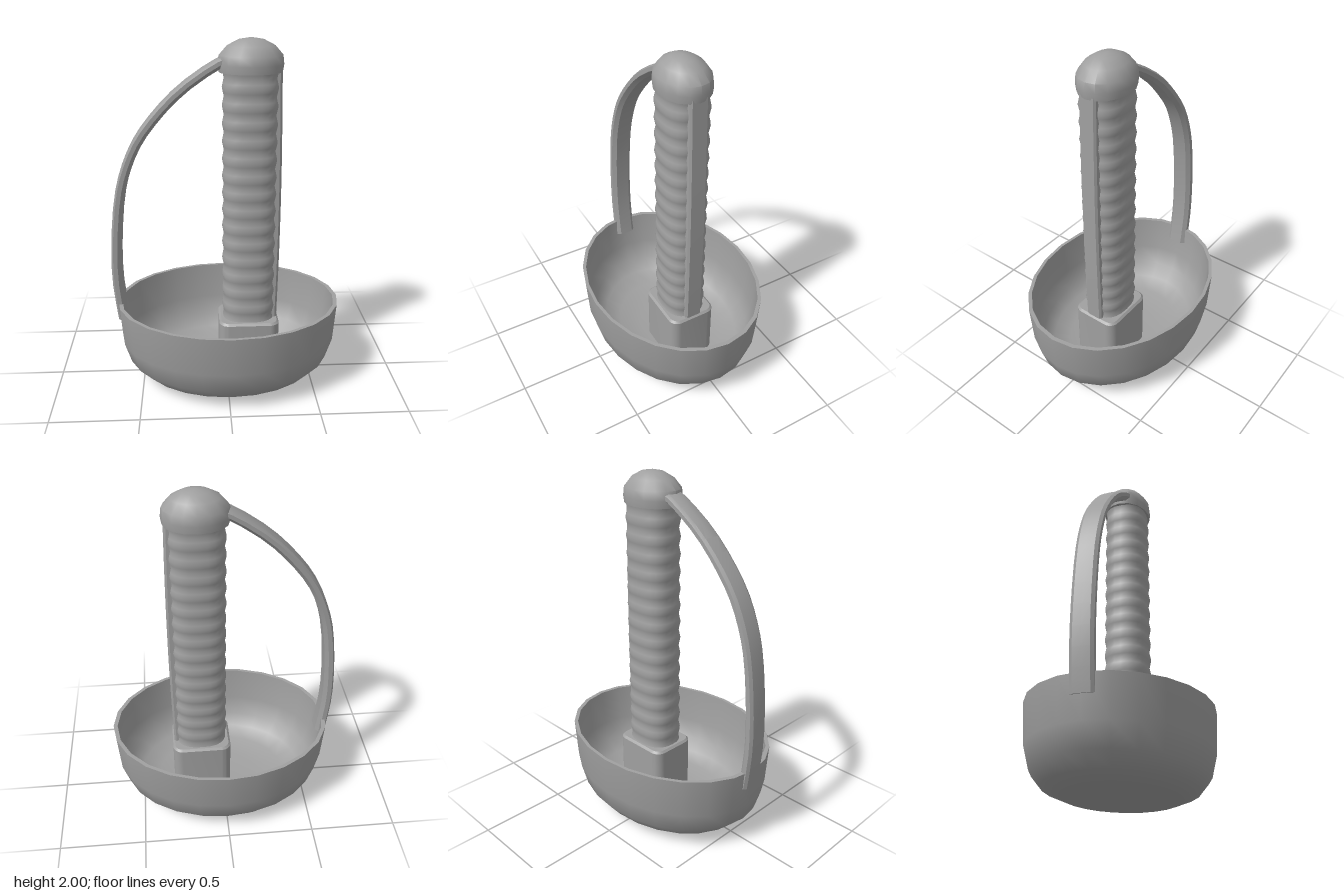
import * as THREE from 'three';
import { toCreasedNormals } from 'three/addons/utils/BufferGeometryUtils.js';

const v = (x, y, z) => new THREE.Vector3(x, y, z);

// Skin a stack of equal-sized rings and close both ends
function loft(rings) {
  const n = rings[0].length, pos = [], index = [];
  const centre = (ring) => ring.reduce((s, p) => s.add(p), v(0, 0, 0)).divideScalar(n);
  for (const ring of rings) for (const p of ring) pos.push(p.x, p.y, p.z);
  for (let i = 0; i < rings.length - 1; i++) {
    for (let j = 0; j < n; j++) {
      const a = i * n + j, b = i * n + (j + 1) % n;
      index.push(a, a + n, b, b, a + n, b + n);
    }
  }
  const first = rings.length * n, top = first - n;
  for (const c of [centre(rings[0]), centre(rings.at(-1))]) pos.push(c.x, c.y, c.z);
  for (let j = 0; j < n; j++) {
    const k = (j + 1) % n;
    index.push(first, j, k, first + 1, top + k, top + j);
  }
  const g = new THREE.BufferGeometry();
  g.setAttribute('position', new THREE.Float32BufferAttribute(pos, 3));
  g.setIndex(index);
  return g;
}

const lathe = (profile, sides) =>
  new THREE.LatheGeometry(profile.map(([x, y]) => new THREE.Vector2(x, y)), sides);

export function createModel() {
  const model = new THREE.Group();
  const grey = new THREE.MeshStandardMaterial({ color: 0xa0a0a0 });
  grey.name = 'plain grey';
  const add = (name, geometry, crease = 0.7) => {
    const mesh = new THREE.Mesh(toCreasedNormals(geometry, crease), grey);
    mesh.name = name;
    model.add(mesh);
    return mesh;
  };

  // Oval bowl guard: outside profile, rim, then inside profile
  const bowl = lathe([
    [0, 0.005], [0.24, 0.01], [0.4, 0.028], [0.52, 0.067], [0.595, 0.14], [0.633, 0.26], [0.65, 0.49],
    [0.626, 0.49], [0.61, 0.27], [0.572, 0.155], [0.5, 0.09], [0.39, 0.054], [0.23, 0.036], [0, 0.03],
  ], 24);
  bowl.scale(1, 1, 0.777);
  bowl.translate(0.01, 0, 0);
  add('bowlGuard', bowl);

  // Rounded socket block standing on the bowl floor
  const w = 0.163, d = 0.133, r = 0.045;
  const outline = new THREE.Shape();
  outline.absarc(w - r, d - r, r, 0, Math.PI / 2);
  outline.absarc(r - w, d - r, r, Math.PI / 2, Math.PI);
  outline.absarc(r - w, r - d, r, Math.PI, Math.PI * 1.5);
  outline.absarc(w - r, r - d, r, Math.PI * 1.5, Math.PI * 2);
  const block = new THREE.ExtrudeGeometry(outline, {
    depth: 0.335, bevelSize: 0.012, bevelThickness: 0.012, bevelSegments: 1, curveSegments: 4,
  });
  block.rotateX(-Math.PI / 2);
  block.translate(0.13, 0.035, 0);
  add('socketBlock', block, 0.6);

  // Oval grip with shallow finger ripples
  const gripRings = [];
  const steps = 60;
  for (let i = 0; i <= steps; i++) {
    const y = 0.36 + 1.48 * i / steps;
    const ripple = 0.005 * Math.cos(i / 4 * Math.PI * 2);
    const ring = [];
    for (let j = 0; j < 24; j++) {
      const a = j / 24 * Math.PI * 2, c = Math.cos(a), s = Math.sin(a);
      const bulge = (t) => Math.sign(t) * Math.abs(t) ** 0.8;
      ring.push(v(0.13 + (0.15 + ripple) * bulge(c), y, (0.122 + ripple) * bulge(s)));
    }
    gripRings.push(ring);
  }
  add('grip', loft(gripRings));

  // Gently bowed strap along the grip
  const strapRings = [];
  for (let i = 0; i <= 10; i++) {
    const t = i / 10, y = 0.36 + 1.48 * t;
    const x = 0.295 + 0.01 * Math.sin(t * Math.PI);
    strapRings.push([v(x, y, -0.042), v(x, y, 0.042), v(x - 0.012, y, 0.052),
      v(0.22, y, 0.052), v(0.22, y, -0.052), v(x - 0.012, y, -0.052)]);
  }
  add('gripStrap', loft(strapRings), 0.4);

  // Domed pommel
  const pommel = lathe([
    [0, 1.82], [0.172, 1.82], [0.178, 1.86], [0.172, 1.908], [0.128, 1.958], [0.07, 1.988], [0, 2],
  ], 16);
  pommel.scale(1, 1, 0.8);
  pommel.translate(0.13, 0, 0);
  add('pommel', pommel);

  // Curved knuckle bow from the bowl rim to the pommel
  const path = new THREE.CatmullRomCurve3([
    [-0.607, 0.39], [-0.615, 0.45], [-0.633, 0.65], [-0.625, 0.9], [-0.593, 1.16], [-0.55, 1.31],
    [-0.485, 1.45], [-0.38, 1.59], [-0.24, 1.73], [-0.05, 1.86], [0.02, 1.89],
  ].map(([x, y]) => v(x, y, 0)));
  const section = [[0.03, -0.04], [0.03, 0.04], [0.008, 0.062], [-0.018, 0.062],
    [-0.03, 0.045], [-0.032, 0], [-0.03, -0.045], [-0.018, -0.062], [0.008, -0.062]];
  const bowRings = [];
  for (let i = 0; i <= 22; i++) {
    const t = i / 22, p = path.getPoint(t), tan = path.getTangent(t);
    const thick = 1 - 0.2 * t;
    bowRings.push(section.map(([u, z]) => v(p.x + tan.y * u * thick, p.y - tan.x * u * thick, z)));
  }
  add('knuckleBow', loft(bowRings), 0.5);

  return model;
}
